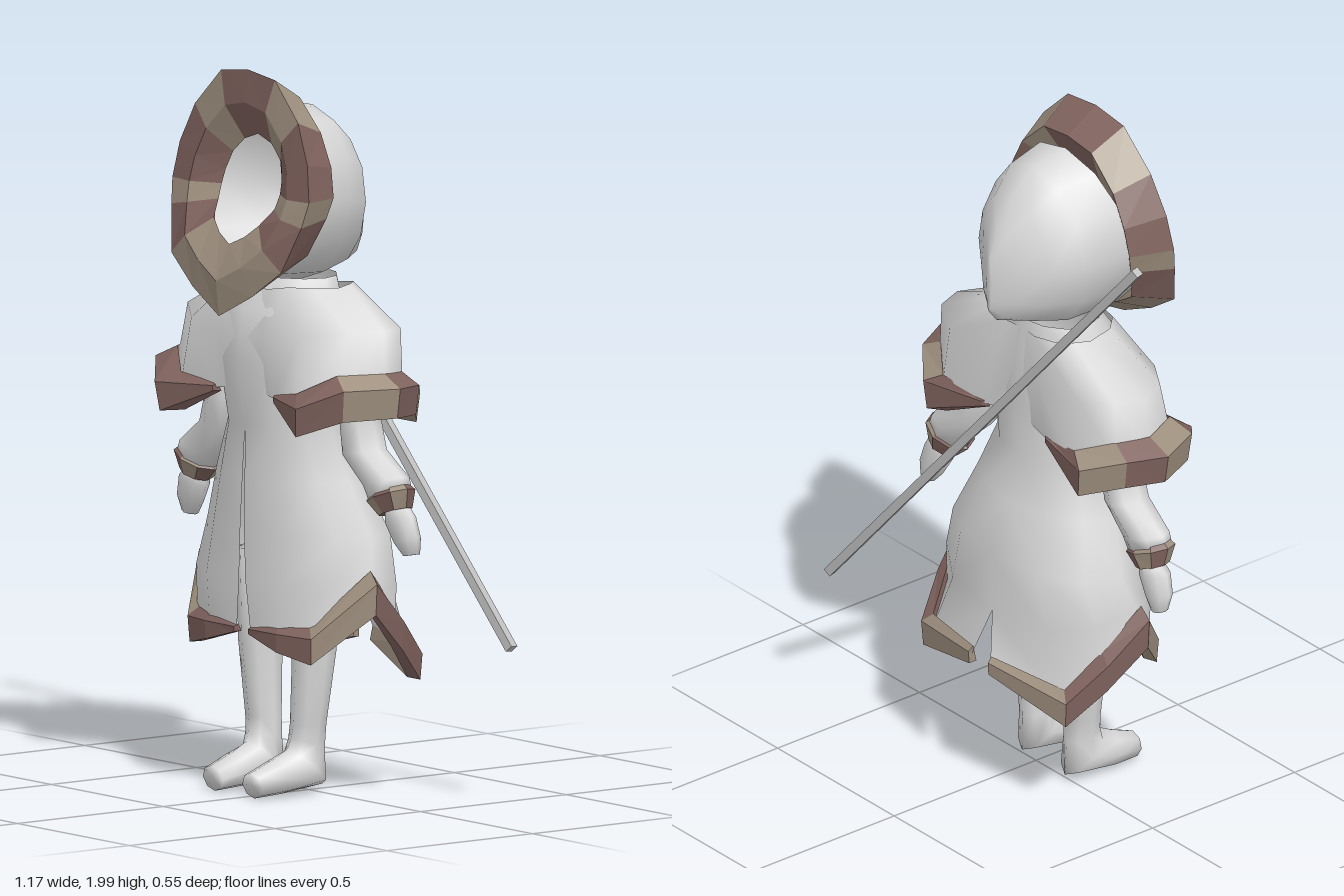
import * as THREE from 'three';
import { mergeGeometries } from 'three/addons/utils/BufferGeometryUtils.js';

const V = (x, y, z) => new THREE.Vector3(x, y, z);

const mat = (name, color, extra = {}) => {
  const m = new THREE.MeshStandardMaterial({ color, ...extra });
  m.name = name;
  return m;
};

// Skins a list of equal-length point rows; faces are turned away from the centroid
function loft(rows, { closed = true, capStart = false, capEnd = false } = {}) {
  const n = rows[0].length, pts = rows.flat(), idx = [];
  const cols = closed ? n : n - 1;
  for (let r = 0; r < rows.length - 1; r++)
    for (let i = 0; i < cols; i++) {
      const a = r * n + i, b = r * n + (i + 1) % n, c = a + n, d = b + n;
      idx.push(a, c, b, b, c, d);
    }
  const cap = (row, base, flip) => {
    const mid = row.reduce((s, p) => s.add(p), V(0, 0, 0)).divideScalar(n);
    const m = pts.push(mid) - 1;
    for (let i = 0; i < n; i++) {
      const a = base + i, b = base + (i + 1) % n;
      idx.push(m, flip ? b : a, flip ? a : b);
    }
  };
  if (capStart) cap(rows[0], 0, false);
  if (capEnd) cap(rows[rows.length - 1], (rows.length - 1) * n, true);

  const centre = pts.reduce((s, p) => s.add(p), V(0, 0, 0)).divideScalar(pts.length);
  let out = 0;
  for (let i = 0; i < idx.length; i += 3) {
    const [a, b, c] = [pts[idx[i]], pts[idx[i + 1]], pts[idx[i + 2]]];
    out += b.clone().sub(a).cross(c.clone().sub(a)).dot(a.clone().sub(centre));
  }
  if (out < 0) idx.reverse();
  const g = new THREE.BufferGeometry().setFromPoints(pts);
  g.setIndex(idx);
  g.computeVertexNormals();
  return g;
}

// Makes shading continuous where two mirrored halves meet at x = 0
function smoothSeam(g) {
  const { position, normal } = g.attributes, v = V(0, 0, 0);
  for (let i = 0; i < position.count; i++)
    if (Math.abs(position.getX(i)) < 0.02) {
      v.fromBufferAttribute(normal, i).setX(0).normalize();
      normal.setXYZ(i, v.x, v.y, v.z);
    }
  return g;
}

// Ellipse ring; tilt turns it about x (front edge up), roll slopes it along x
function ring([x, y, z, rx, rz, tilt = 0, roll = 0], n = 8) {
  return Array.from({ length: n }, (_, i) => {
    const a = i / n * Math.PI * 2, u = rx * Math.sin(a), v = rz * Math.cos(a);
    return V(x + u, y + v * Math.sin(tilt) + u * roll, z + v * Math.cos(tilt));
  });
}

// Half of a horizontal oval from front centre (parted by gap) round one side to back centre
const halfRow = (y, hw, front, back, gap = 0) => Array.from({ length: 7 }, (_, i) => {
  const a = i * Math.PI / 6;
  return V(i ? hw * Math.sin(a) : gap, y, (front + back) / 2 + (front - back) / 2 * Math.cos(a));
});

const side = (rows, s) => rows.map(row => row.map(p => V(p.x * s, p.y, p.z)));

export function createModel() {
  const cloth = mat('pale cloth', 0xd9d9d9, { side: THREE.DoubleSide });
  const brown = mat('brown fur', 0x80635e, { flatShading: true });
  const tan = mat('tan fur', 0xa09180, { flatShading: true });
  const metal = mat('grey rod', 0xc0c0c0);

  const model = new THREE.Group();
  const figure = new THREE.Group();
  figure.name = 'figure';
  figure.position.x = -0.05;
  model.add(figure);

  const add = (name, geo, material, parent = figure) => {
    const m = new THREE.Mesh(geo, material);
    m.name = name;
    parent.add(m);
  };

  // Fur band: one block per pattern letter, b = brown, t = tan
  const fur = (name, sections, pattern) => {
    const group = new THREE.Group();
    group.name = name;
    figure.add(group);
    for (const [key, label, material] of [['b', 'Brown', brown], ['t', 'Tan', tan]]) {
      const blocks = [...pattern].flatMap((k, i) => k === key
        ? [loft([sections[i], sections[(i + 1) % sections.length]], { capStart: true, capEnd: true })] : []);
      add(name + label, mergeGeometries(blocks), material, group);
    }
  };

  // Cross-section of a trim at p: height h, pushed w outward from the body axis
  const trim = (p, h, w) => {
    const o = V(p.x, 0, p.z).normalize();
    const at = (k, up) => p.clone().addScaledVector(o, k).add(V(0, up * h, 0));
    return [at(-0.005, 0.5), at(w, 0.22), at(w * 0.8, -0.5), at(-0.015, -0.45)];
  };

  // Hood, open at the face, with a ridge down the back
  add('hood', loft([
    [0, 1.66, 0.12, 0.235, 0.25, 1.8], [0, 1.645, -0.03, 0.2, 0.24, 1.66],
    [0, 1.625, -0.12, 0.15, 0.19, 1.6], [0, 1.595, -0.18, 0.065, 0.14, 1.57],
    [0, 1.575, -0.207, 0.012, 0.085, 1.57],
  ].map(r => ring(r, 12)), { capEnd: true }), cloth);

  // Fur ruff around the face: outer x, y, inner x, y, front z, back z
  const ruffHalf = [
    [0, 2.0, 0, 1.82, 0.18, 0.07], [0.12, 1.985, 0.06, 1.80, 0.18, 0.07],
    [0.23, 1.88, 0.105, 1.76, 0.185, 0.07], [0.285, 1.77, 0.125, 1.71, 0.195, 0.07],
    [0.305, 1.67, 0.13, 1.67, 0.205, 0.075], [0.29, 1.6, 0.125, 1.63, 0.22, 0.09],
    [0.245, 1.475, 0.1, 1.585, 0.255, 0.125], [0.13, 1.395, 0.055, 1.55, 0.27, 0.15],
    [0, 1.33, 0, 1.525, 0.28, 0.165],
  ];
  const ruffSection = ([ox, oy, ix, iy, zf, zb], s) => [
    V(s * ix, iy, zf - 0.045), V(s * (ox * 0.5 + ix * 0.5), oy * 0.5 + iy * 0.5, zf),
    V(s * ox, oy, zf - 0.01), V(s * ox * 0.85, 1.66 + (oy - 1.66) * 0.82, zb),
  ];
  fur('hoodRuff', [
    ...ruffHalf.map(r => ruffSection(r, 1)),
    ...ruffHalf.slice(1, -1).reverse().map(r => ruffSection(r, -1)),
  ], 'btbbtbttttbtbbtb');

  for (const s of [1, -1]) {
    const tag = s > 0 ? 'left' : 'right';

    // Coat half, parted down the front and notched at the back
    const hem = [
      V(0.03, 0.46, 0.185), V(0.15, 0.45, 0.185), V(0.25, 0.44, 0.15), V(0.37, 0.59, 0.03),
      V(0.335, 0.475, -0.08), V(0.285, 0.373, -0.175), V(0.04, 0.42, -0.235),
    ];
    const low = [
      V(0.014, 0.6, 0.19), V(0.165, 0.6, 0.185), V(0.29, 0.6, 0.125), V(0.355, 0.635, 0.02),
      V(0.325, 0.6, -0.09), V(0.2, 0.57, -0.17), V(0, 0.56, -0.195),
    ];
    const coat = [
      halfRow(1.43, 0.15, 0.13, -0.09), halfRow(1.34, 0.2, 0.19, -0.1), halfRow(1.2, 0.22, 0.205, -0.115),
      halfRow(1.02, 0.195, 0.18, -0.11), halfRow(0.88, 0.26, 0.185, -0.14, 0.005),
      halfRow(0.73, 0.325, 0.19, -0.2, 0.009), low, hem,
    ];
    add(tag + 'Coat', smoothSeam(loft(side(coat, s), { closed: false })), cloth);

    // Coat hem fur
    const hemSize = [[0.02, 0.01], [0.07, 0.015], [0.1, 0.03], [0.12, 0.028], [0.11, 0.03], [0.1, 0.03], [0.05, 0.01]];
    fur(tag + 'HemFur', side(hem.map((p, i) => trim(p, ...hemSize[i])), s), 'bbtbbt');

    // Shoulder cape, its ends sinking into the coat
    const edge = [
      V(0.13, 1.11, 0.18), V(0.26, 1.085, 0.205), V(0.36, 1.135, 0.14),
      V(0.42, 1.14, 0.02), V(0.38, 1.135, -0.07), V(0.285, 1.095, -0.14), V(0.13, 1.12, -0.115),
    ];
    const cape = [
      [V(0, 1.4, 0.14), V(0.06, 1.4, 0.15), V(0.12, 1.41, 0.13), V(0.17, 1.41, 0.08), V(0.185, 1.405, 0),
        V(0.17, 1.41, -0.05), V(0.14, 1.41, -0.085), V(0.06, 1.4, -0.095), V(0, 1.4, -0.088)],
      [V(0, 1.27, 0.19), V(0.1, 1.27, 0.198), V(0.24, 1.29, 0.18), V(0.36, 1.31, 0.1), V(0.4, 1.31, 0.01),
        V(0.37, 1.31, -0.07), V(0.28, 1.29, -0.115), V(0.1, 1.27, -0.115), V(0, 1.27, -0.1)],
      [V(0.04, 1.12, 0.17), ...edge, V(0.04, 1.13, -0.1)],
    ];
    add(tag + 'Cape', smoothSeam(loft(side(cape, s), { closed: false })), cloth);

    // Cape fur
    const edgeSize = [[0.02, 0.01], [0.11, 0.07], [0.12, 0.065], [0.115, 0.07], [0.115, 0.06], [0.115, 0.055], [0.02, 0.01]];
    fur(tag + 'CapeFur', side(edge.map((p, i) => trim(p, ...edgeSize[i])), s), 'bbtbtb');

    // Sleeve, cuff and mitten
    add(tag + 'Sleeve', loft(side([
      [0.29, 1.2, 0.01, 0.055, 0.06], [0.3, 1.06, 0.015, 0.055, 0.06],
      [0.32, 0.97, 0.015, 0.062, 0.06, 0, 0.2], [0.41, 0.9, 0.01, 0.072, 0.058, 0, 0.25],
      [0.43, 0.86, 0.01, 0.065, 0.055, 0, 0.35],
    ].map(r => ring(r)), s), { capEnd: true }), cloth);
    const [c0, c1, c2, c3] = [
      [0.428, 0.885, 0.01, 0.055, 0.045, 0, 0.35], [0.43, 0.865, 0.01, 0.075, 0.062, 0, 0.35],
      [0.445, 0.82, 0.005, 0.048, 0.045, 0, 0.35], [0.443, 0.825, 0.005, 0.03, 0.03, 0, 0.35],
    ].map(r => ring(r));
    fur(tag + 'CuffFur', side(c0.map((p, i) => [p, c1[i], c2[i], c3[i]]), s), 'btbtbtbt');
    add(tag + 'Mitten', loft(side([
      [0.443, 0.84, 0, 0.035, 0.03], [0.46, 0.8, 0, 0.05, 0.037, 0, 0.3],
      [0.485, 0.745, -0.005, 0.042, 0.033, 0, 0.3], [0.495, 0.705, -0.012, 0.024, 0.022, 0, 0.2],
    ].map(r => ring(r)), s), { capStart: true, capEnd: true }), cloth);

    // Leg running into the foot
    add(tag + 'Leg', loft(side([
      [0.12, 0.66, 0.035, 0.065, 0.07], [0.12, 0.4, 0.035, 0.058, 0.063], [0.1, 0.2, 0.04, 0.05, 0.05],
      [0.095, 0.145, 0.042, 0.046, 0.056, 0.3], [0.092, 0.08, 0.045, 0.054, 0.08, 0.72],
      [0.09, 0.06, 0.14, 0.06, 0.05, 1.35], [0.088, 0.042, 0.222, 0.045, 0.036, 1.4],
    ].map(r => ring(r)), s), { capStart: true, capEnd: true }), cloth);
  }

  // Rod slung across the back
  const a = V(-0.575, 1.8, -0.115), b = V(0.575, 0.44, -0.255), dir = b.clone().sub(a);
  const rod = new THREE.Mesh(new THREE.BoxGeometry(0.025, dir.length(), 0.025), metal);
  rod.name = 'backRod';
  rod.position.copy(a).add(b).multiplyScalar(0.5);
  rod.quaternion.setFromUnitVectors(V(0, 1, 0), dir.normalize());
  model.add(rod);

  return model;
}
